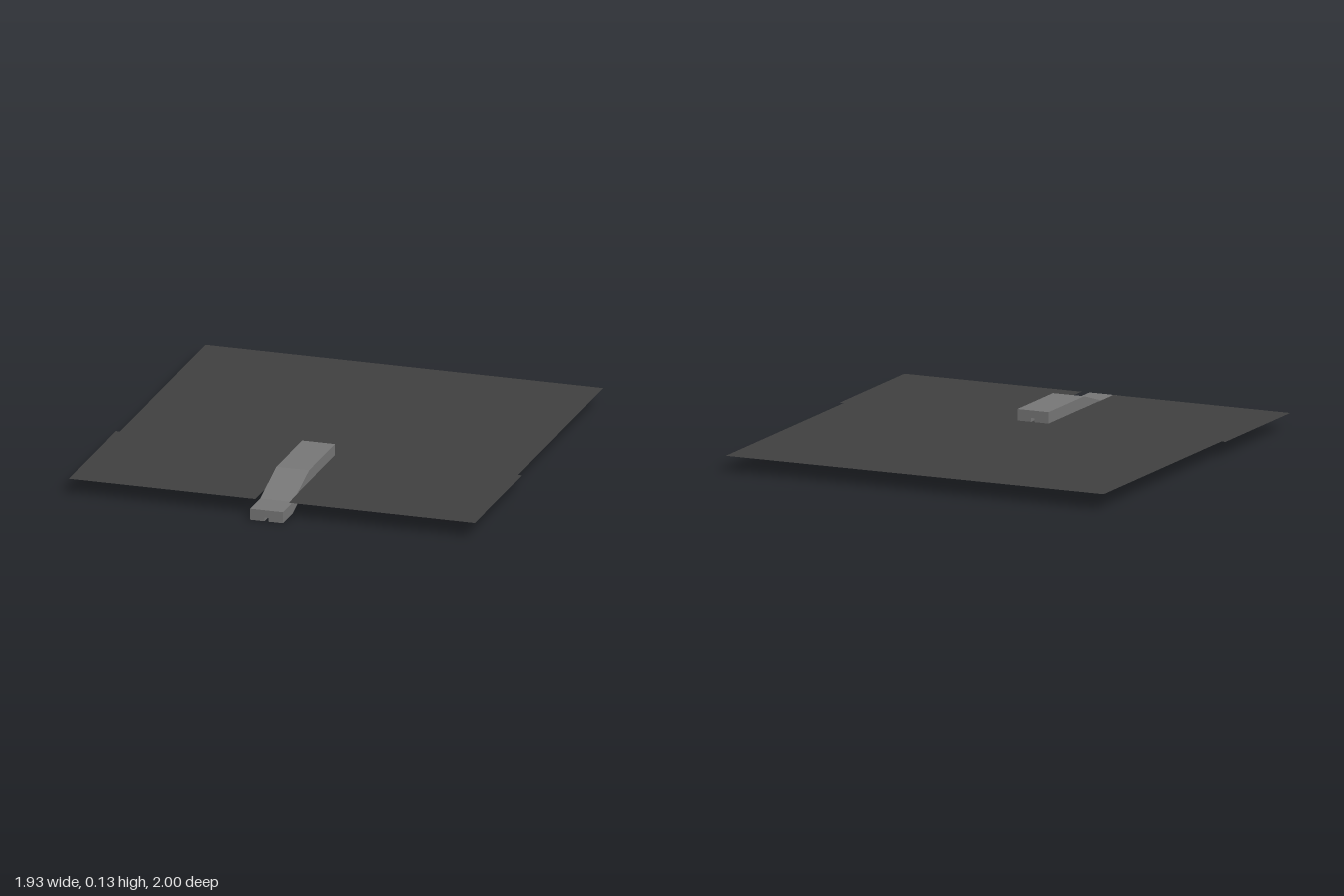
import * as THREE from 'three';

// Closed outline from [x, y] points
const outline = (pts) => new THREE.Shape(pts.map(([x, y]) => new THREE.Vector2(x, y)));

// Mirror the +x half of an outline to make a symmetric closed one
const mirrored = (half) => outline([...half, ...half.slice().reverse().map(([x, y]) => [-x, y])]);

export function createModel() {
  const model = new THREE.Group();

  // Thin floor sheet, wider at the front, with a notch for the ramp
  const sheetGeo = new THREE.ShapeGeometry(mirrored([
    [0.08, -0.77], [0.08, -0.92], [0.967, -0.92], [0.967, -0.24], [0.947, -0.24], [0.947, 1],
  ]));
  sheetGeo.rotateX(-Math.PI / 2);
  const sheet = new THREE.Mesh(sheetGeo, new THREE.MeshStandardMaterial({ color: 0x404040, side: THREE.DoubleSide }));
  sheet.position.y = 0.072;
  sheet.name = 'floorSheet';
  model.add(sheet);

  // Cable ramp: grooved bar section carried along a stepped path of [z, y]
  const path = [[0.243, 0.0725], [0.617, 0.0725], [0.855, 0], [1, 0]];
  const section = mirrored([[0.009, 0.018], [0.009, 0], [0.078, 0], [0.078, 0.053]]);
  // Reorder so the groove sits at the bottom centre of the bar
  const rampGeo = new THREE.ExtrudeGeometry(section, { depth: 3, steps: 3, bevelEnabled: false });
  const pos = rampGeo.attributes.position;
  for (let i = 0; i < pos.count; i++) {
    const [z, y] = path[Math.round(pos.getZ(i))];
    pos.setY(i, pos.getY(i) + y);
    pos.setZ(i, z);
  }
  rampGeo.computeVertexNormals();
  const ramp = new THREE.Mesh(rampGeo, new THREE.MeshStandardMaterial({ color: 0x777777, flatShading: true }));
  ramp.name = 'cableRamp';
  model.add(ramp);

  return model;
}
